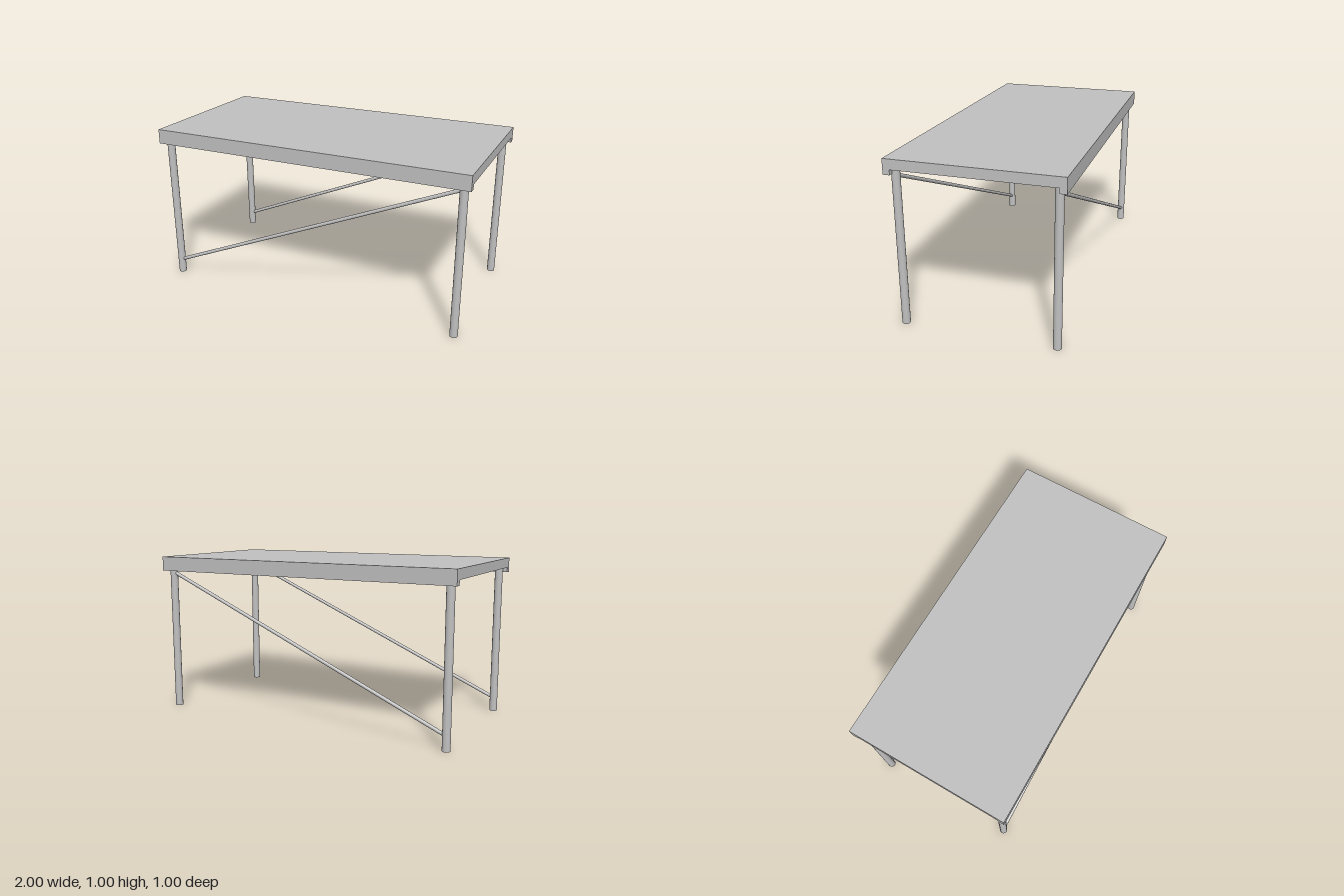
import * as THREE from 'three';

export function createModel() {
  const model = new THREE.Group();
  const steel = new THREE.MeshStandardMaterial({ color: 0xc0c0c0 });
  steel.name = 'light grey steel';

  const add = (name, geometry) => {
    const mesh = new THREE.Mesh(geometry, steel);
    mesh.name = name;
    model.add(mesh);
    return mesh;
  };

  // Straight round bar between two points
  const bar = (name, a, b, radius, sides) => {
    const axis = b.clone().sub(a);
    const mesh = add(name, new THREE.CylinderGeometry(radius, radius, axis.length(), sides));
    mesh.position.copy(a).add(b).multiplyScalar(0.5);
    mesh.quaternion.setFromUnitVectors(new THREE.Vector3(0, 1, 0), axis.normalize());
  };

  // Table top: channel section with a downturned lip along front and back
  const section = new THREE.Shape([
    [-0.5, 0.91], [-0.46, 0.91], [-0.46, 0.94], [0.46, 0.94],
    [0.46, 0.91], [0.5, 0.91], [0.5, 1], [-0.5, 1],
  ].map(([z, y]) => new THREE.Vector2(z, y)));
  const top = new THREE.ExtrudeGeometry(section, { depth: 2, bevelEnabled: false });
  top.translate(0, 0, -1).rotateY(Math.PI / 2);
  add('tableTop', top);

  const legX = 0.95, legZ = 0.45;
  for (const [zName, z] of [['front', legZ], ['back', -legZ]]) {
    // Legs run up to the underside of the top
    for (const [xName, x] of [['Left', legX], ['Right', -legX]]) {
      bar(`${zName}${xName}Leg`, new THREE.Vector3(x, 0, z), new THREE.Vector3(x, 0.94, z), 0.024, 32);
    }
    // Diagonal brace between the two legs of this side
    bar(`${zName}Brace`, new THREE.Vector3(-legX, 0.085, z), new THREE.Vector3(legX, 0.9, z), 0.011, 24);
  }
  return model;
}
